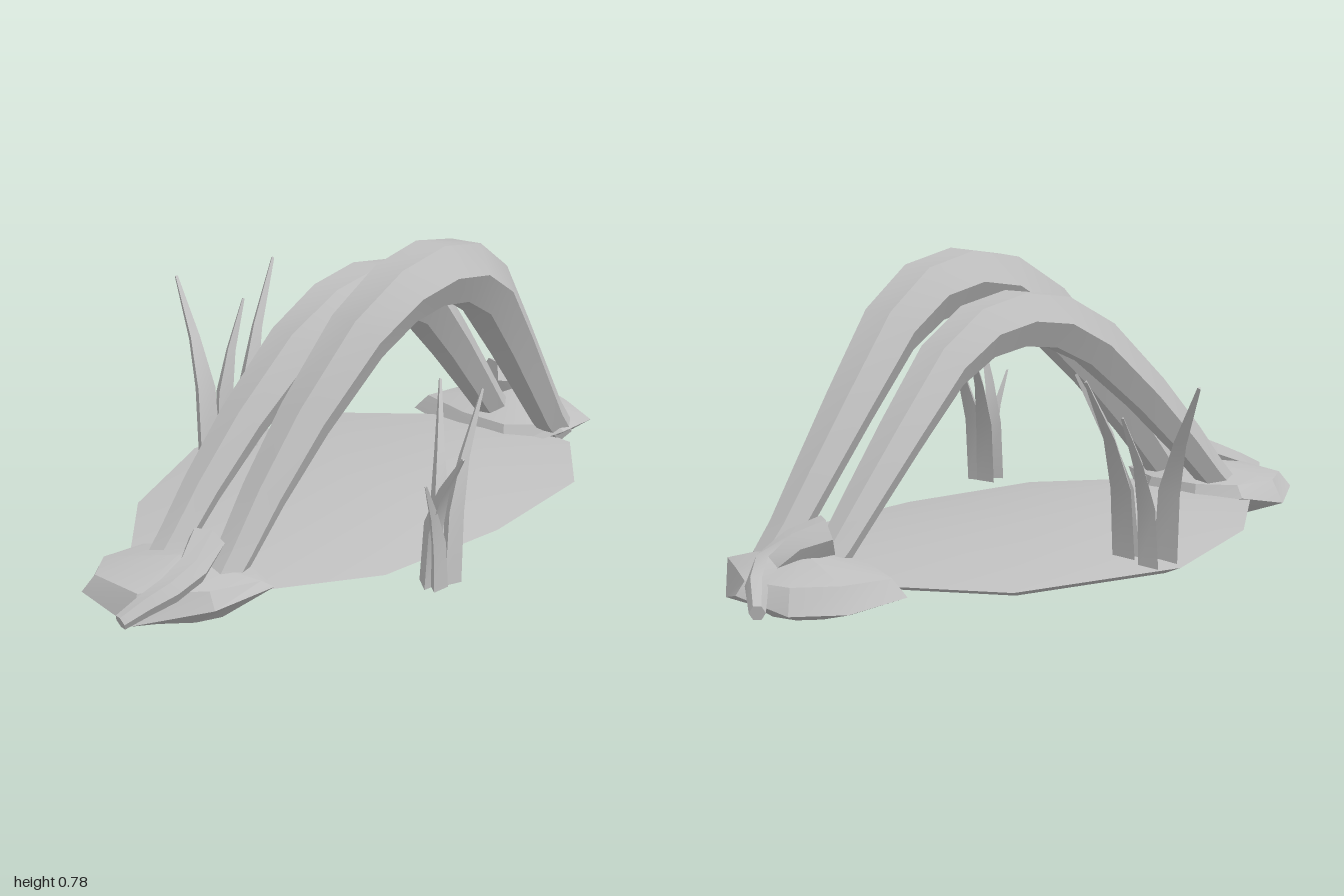
import * as THREE from 'three';
import { toCreasedNormals } from 'three/addons/utils/BufferGeometryUtils.js';

const V = (p) => new THREE.Vector3(...p);

// Skin a stack of equal-sized rings and close both ends with fans.
function skin(rings, startPoint, endPoint, crease) {
  const n = rings[0].length, last = (rings.length - 1) * n;
  const points = [...rings.flat(), startPoint, endPoint];
  const s = points.length - 2, e = s + 1, index = [];
  for (let j = 0; j < n; j++) {
    const k = (j + 1) % n;
    for (let i = 0; i < last; i += n) {
      index.push(i + j, i + k, i + n + k, i + j, i + n + k, i + n + j);
    }
    index.push(s, k, j, e, last + j, last + k);
  }
  const g = new THREE.BufferGeometry().setFromPoints(points);
  g.setIndex(index);
  return toCreasedNormals(g, crease);
}

// Tapered limb: regular polygon section swept along a path.
function limb(path, radii, sides, ref, crease = 0.6) {
  const pts = path.map(V), up = V(ref);
  const rings = pts.map((p, i) => {
    const t = pts[Math.min(i + 1, pts.length - 1)].clone().sub(pts[Math.max(i - 1, 0)]).normalize();
    const side = up.clone().cross(t).normalize();
    const top = t.clone().cross(side);
    return Array.from({ length: sides }, (_, k) => {
      const a = (k / sides) * Math.PI * 2;
      return p.clone().addScaledVector(side, Math.cos(a) * radii[i]).addScaledVector(top, Math.sin(a) * radii[i]);
    });
  });
  return skin(rings, pts[0], pts[pts.length - 1], crease);
}

// Rounded slab or rock: an outline of [x, z, lift] scaled through [scale, y] layers.
function mound(outline, [cx, cz], layers, low, high, crease) {
  const rings = layers.map(([s, y, liftAmount = 0]) => outline.map(([x, z, lift = 0]) =>
    new THREE.Vector3(cx + (x - cx) * s, y + lift * liftAmount, cz + (z - cz) * s)));
  return skin(rings, V([cx, low, cz]), V([cx, high, cz]), crease);
}

export function createModel() {
  const group = new THREE.Group();
  const stone = new THREE.MeshStandardMaterial({ color: 0xc0c0c0 });
  stone.name = 'light grey';
  const add = (name, geometry) => {
    const mesh = new THREE.Mesh(geometry, stone);
    mesh.name = name;
    group.add(mesh);
  };

  // Shallow lens-shaped pond bed
  add('pond', mound([
    [0, 0.42], [0.4, 0.38], [0.65, 0.2], [0.7, -0.02], [0.62, -0.22], [0.45, -0.46],
    [0, -0.56], [-0.4, -0.4], [-0.67, -0.18], [-0.7, 0.02], [-0.65, 0.21], [-0.4, 0.38],
  ], [0, -0.05], [[0.55, 0.056], [0.9, 0.068], [1, 0.09], [0.6, 0.118]], 0.055, 0.125, 0.5));

  // Faceted rocks at both ends
  add('rightRock', mound([
    [-0.8, 0.2, 0.02], [-0.66, 0.26, 0.05], [-0.55, 0.1, -0.01], [-0.57, -0.07, 0],
    [-0.65, -0.17, 0.03], [-0.79, -0.19, 0], [-0.9, -0.12, 0.02], [-0.93, 0.06, -0.01],
  ], [-0.73, 0.03], [[0.45, 0.02], [1, 0.065, 1], [0.86, 0.125]], 0, 0.16, 0.4));
  add('leftRock', mound([
    [0.65, 0.18, 0.05], [0.78, 0.18, 0.05], [0.87, 0.07, -0.01], [0.94, -0.06, 0.03],
    [0.9, -0.2, 0], [0.79, -0.28, 0], [0.64, -0.31, 0.02], [0.57, -0.12, 0.01], [0.55, 0.05, -0.01],
  ], [0.74, -0.05], [[0.45, 0.025], [1, 0.065, 1], [0.86, 0.125]], 0.01, 0.17, 0.4));

  // Two hexagonal arches, mirrored about the peak and leaning forward
  const half = [[0.7, 0.1, 0], [0.64, 0.165, 0.03], [0.55, 0.28, 0.13], [0.42, 0.435, 0.36],
    [0.26, 0.605, 0.75], [0.13, 0.683, 0.95]];
  const profile = [...half.map(([x, y, l]) => [-x, y, l]), [0, 0.705, 1], ...half.slice().reverse()];
  const arch = (baseZ, peakZ, peakY, thin, thick) => limb(
    profile.map(([x, y, l]) => [x, 0.1 + (y - 0.1) * (peakY - 0.1) / 0.605, baseZ + (peakZ - baseZ) * l]),
    profile.map(([, y]) => thin + (thick - thin) * (y - 0.1) / 0.605), 6, [0, 1, 0], 0.7);
  add('frontArch', arch(0.127, 0.21, 0.705, 0.044, 0.086));
  add('backArch', arch(-0.06, 0.012, 0.625, 0.04, 0.077));

  // Roots trailing off the rocks
  add('leftRoot', limb([[0.7, 0.205, -0.1], [0.77, 0.185, -0.065], [0.84, 0.145, -0.045],
    [0.91, 0.12, -0.1], [0.99, 0.092, -0.205]], [0.05, 0.042, 0.034, 0.027, 0.019], 6, [0, 1, 0]));
  add('rightRoot', limb([[-0.71, 0.205, 0.1], [-0.79, 0.165, 0.125], [-0.87, 0.14, 0.125],
    [-0.93, 0.118, 0.105], [-0.99, 0.092, 0.085]], [0.045, 0.038, 0.032, 0.026, 0.019], 6, [0, 1, 0]));

  // Grass blades: [base x, base z, tip x, tip y, tip z, width]
  const blade = ([bx, bz, tx, ty, tz, r]) => limb(
    [[0, 0, 1], [0.4, 0.1, 0.9], [0.68, 0.42, 0.5], [1, 1, 0.13]].map(([h, o]) =>
      [bx + (tx - bx) * o, 0.088 + (ty - 0.088) * h, bz + (tz - bz) * o]),
    [r, r * 0.9, r * 0.5, r * 0.14], 3, [0.35, 0, 1]);
  const clumps = {
    frontGrass: [
      [-0.38, 0.49, -0.47, 0.455, 0.65, 0.03], [-0.34, 0.52, -0.18, 0.515, 0.495, 0.03],
      [-0.345, 0.49, -0.155, 0.505, 0.355, 0.03], [-0.385, 0.52, -0.475, 0.37, 0.55, 0.025],
    ],
    backGrass: [
      [-0.02, -0.5, 0.04, 0.54, -0.65, 0.036], [0.05, -0.43, 0.27, 0.565, -0.51, 0.034],
      [0.05, -0.51, 0.17, 0.47, -0.53, 0.03], [0.03, -0.43, 0.035, 0.52, -0.24, 0.03],
    ],
  };
  for (const [name, blades] of Object.entries(clumps)) {
    blades.forEach((b, i) => add(`${name}Blade${i + 1}`, blade(b)));
  }
  return group;
}
